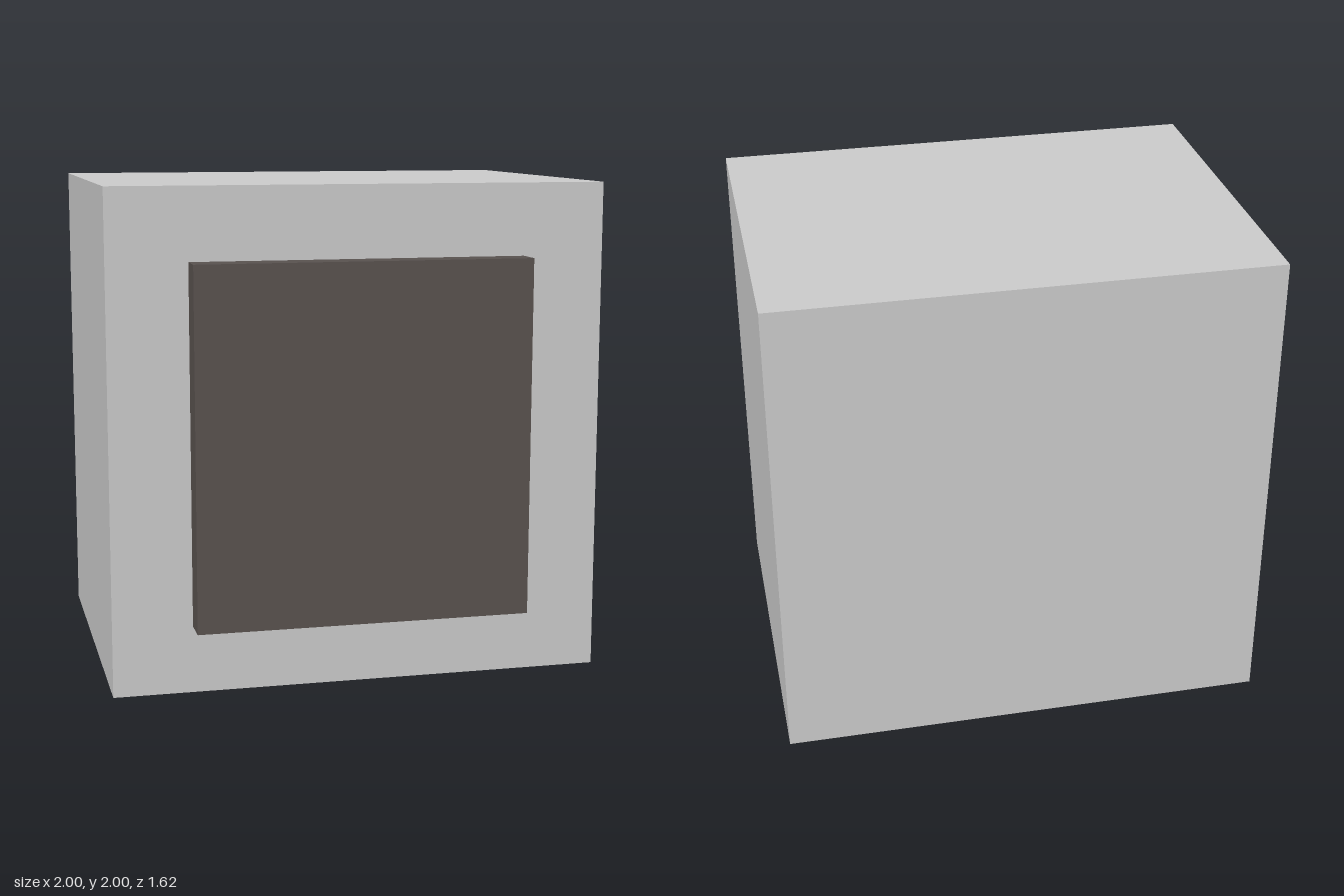
import * as THREE from 'three';

// Box spanning two opposite corners
function addBox(group, name, min, max, color) {
  const size = max.map((v, i) => v - min[i]);
  const mesh = new THREE.Mesh(
    new THREE.BoxGeometry(...size),
    new THREE.MeshStandardMaterial({ color })
  );
  mesh.position.set(...max.map((v, i) => (v + min[i]) / 2));
  mesh.name = name;
  group.add(mesh);
}

export function createModel() {
  const group = new THREE.Group();
  group.name = 'cabinet';

  // Main housing
  addBox(group, 'body', [-1, 0, -0.81], [1, 2, 0.69], 0xcccccc);

  // Raised dark panel on the front
  addBox(group, 'frontPanel', [-0.68, 0.27, 0.69], [0.67, 1.71, 0.81], 0x59524f);

  return group;
}
